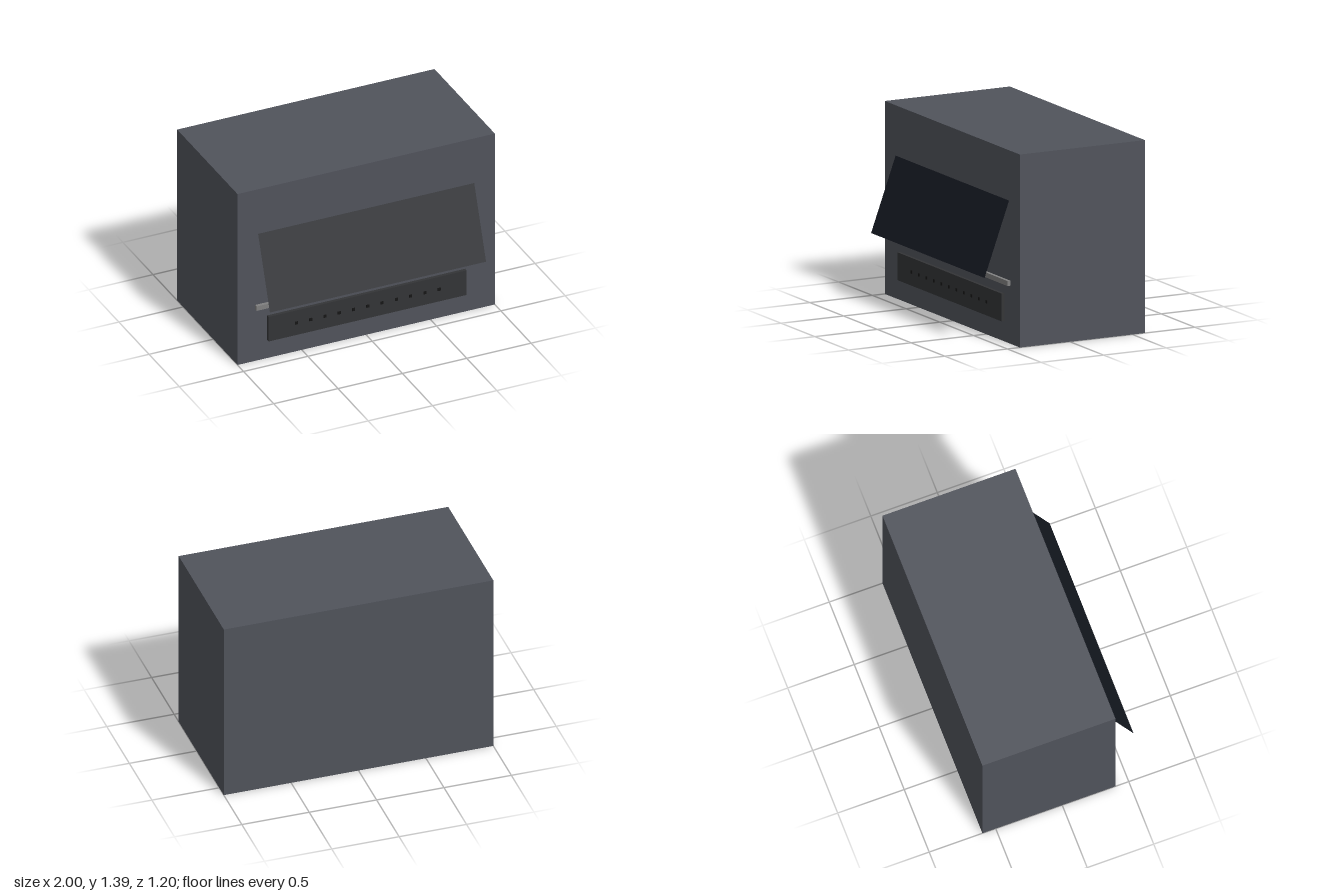
import * as THREE from 'three';

const paint = (color) => new THREE.MeshStandardMaterial({ color });

export function createModel() {
  const model = new THREE.Group();
  const bodyPaint = paint(0x50535b);
  const glassPaint = paint(0x161a22);
  const railPaint = paint(0x808080);
  const panelPaint = paint(0x333436);
  const buttonPaint = paint(0x151515);
  glassPaint.side = THREE.DoubleSide;

  const addBox = (parent, name, material, size, position) => {
    const mesh = new THREE.Mesh(new THREE.BoxGeometry(...size), material);
    mesh.name = name;
    mesh.position.set(...position);
    parent.add(mesh);
  };

  // Cabinet
  addBox(model, 'cabinet', bodyPaint, [2, 1.39, 1], [0, 0.695, -0.1]);

  // Thin screen, leaning back until its top edge meets the cabinet front
  const bottom = new THREE.Vector2(0.596, 0.49);
  const top = new THREE.Vector2(0.399, 1.03);
  const screen = new THREE.Mesh(
    new THREE.PlaneGeometry(1.68, bottom.distanceTo(top)), glassPaint);
  screen.name = 'screen';
  screen.position.set(0, (bottom.y + top.y) / 2, (bottom.x + top.x) / 2);
  screen.rotation.x = -Math.atan2(bottom.x - top.x, top.y - bottom.y);
  model.add(screen);

  // Rail under the screen
  addBox(model, 'rail', railPaint, [1.725, 0.036, 0.046], [0, 0.437, 0.402]);

  // Control panel with its row of buttons
  const controls = new THREE.Group();
  controls.name = 'controls';
  addBox(controls, 'controlPanel', panelPaint, [1.54, 0.2, 0.045], [0, 0.247, 0.402]);
  for (let i = -5; i <= 5; i++) {
    addBox(controls, 'button', buttonPaint, [0.022, 0.022, 0.02], [i * 0.111, 0.247, 0.42]);
  }
  model.add(controls);

  return model;
}
